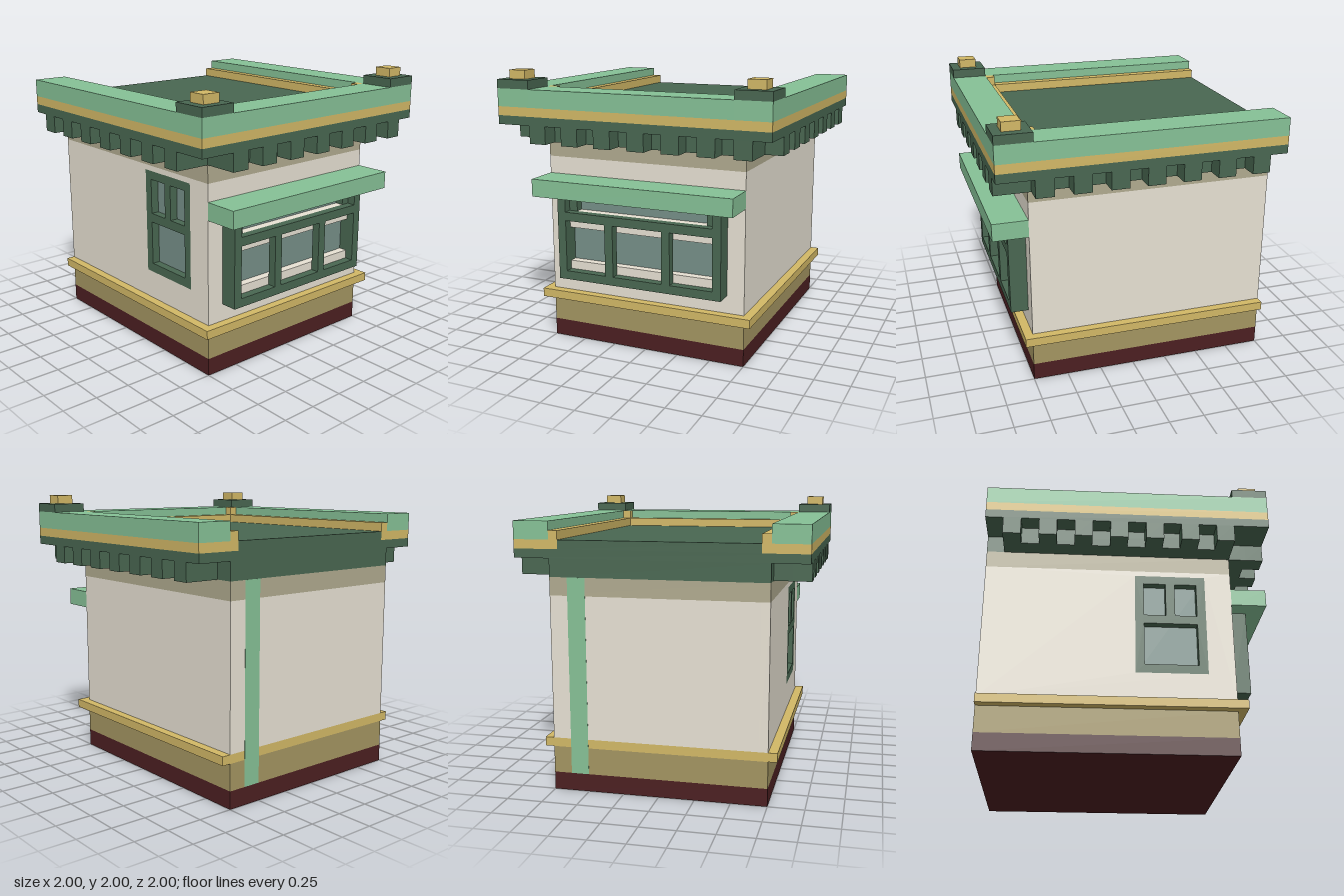
import * as THREE from 'three';

const mat = (name, color) => {
  const m = new THREE.MeshStandardMaterial({ color });
  m.name = name;
  return m;
};

export function createModel() {
  const wall = mat('wallStone', 0xe8e2d4), tan = mat('tanBand', 0xb0aa8f);
  const maroon = mat('maroonBase', 0x4c1f21), olive = mat('oliveBase', 0xa39561);
  const gold = mat('goldTrim', 0xd2b866), dark = mat('darkGreen', 0x496751);
  const light = mat('lightGreen', 0x86c196), glass = mat('glass', 0x768f88);

  const model = new THREE.Group();
  model.name = 'building';

  // box given by its two extreme corners
  const box = (name, m, x0, x1, y0, y1, z0, z1) => {
    const mesh = new THREE.Mesh(new THREE.BoxGeometry(x1 - x0, y1 - y0, z1 - z0), m);
    mesh.position.set((x0 + x1) / 2, (y0 + y1) / 2, (z0 + z1) / 2);
    mesh.name = name;
    model.add(mesh);
  };

  // box on the +x side and its mirror on the -x side
  const pair = (name, m, x0, x1, ...rest) => {
    box(name, m, x0, x1, ...rest);
    box(name, m, -x1, -x0, ...rest);
  };

  // flat panel with rectangular holes, each rectangle as [u0, u1, y0, y1]
  const trace = (path, [u0, u1, y0, y1]) => {
    path.moveTo(u0, y0);
    path.lineTo(u1, y0);
    path.lineTo(u1, y1);
    path.lineTo(u0, y1);
    path.closePath();
    return path;
  };
  const panel = (name, m, outer, holes, depth) => {
    const shape = trace(new THREE.Shape(), outer);
    holes.forEach(h => shape.holes.push(trace(new THREE.Path(), h)));
    const mesh = new THREE.Mesh(new THREE.ExtrudeGeometry(shape, { depth, bevelEnabled: false }), m);
    mesh.name = name;
    model.add(mesh);
    return mesh;
  };

  // base courses
  box('basePlinth', maroon, -0.75, 0.75, 0, 0.125, -1, 0.75);
  box('baseCourse', olive, -0.75, 0.75, 0.125, 0.3125, -1, 0.75);
  box('baseTrim', gold, -0.8125, 0.8125, 0.3125, 0.375, -1, 0.8125);

  // walls: solid core and a pierced layer on the right side
  box('wallCore', wall, -0.6875, 0.75, 0.375, 1.375, -1, 0.75);
  const sideOpening = [0.0625, 0.5625, 0.58, 1.3375];
  const sideWall = panel('sideWall', wall, [-1, 0.75, 0.375, 1.375], [sideOpening], 0.0625);
  box('upperBand', tan, -0.75, 0.75, 1.375, 1.5, -1, 0.75);
  box('backStripe', light, 0.5, 0.625, 0.125, 1.5, -1.001, -0.998);

  // side window, set into the wall
  const sideFrame = panel('sideWindowFrame', dark, sideOpening,
    [[0.125, 0.5, 0.645, 0.96], [0.125, 0.28, 1.025, 1.275], [0.345, 0.5, 1.025, 1.275]], 0.0625);
  for (const p of [sideWall, sideFrame]) {
    p.rotation.y = -Math.PI / 2;
    p.position.x = -0.6875;
  }
  box('sideWindowGlass', glass, -0.692, -0.686, 0.6, 1.325, 0.075, 0.55);

  // front window: glass on the wall, stone sill and lintel, green frame in front
  box('lowerGlass', glass, -0.5625, 0.5625, 0.625, 0.875, 0.748, 0.752);
  box('upperGlass', glass, -0.5, 0.5, 1, 1.125, 0.748, 0.752);
  box('windowSill', wall, -0.5625, 0.5625, 0.5625, 0.625, 0.75, 0.8125);
  box('windowLintel', wall, -0.5625, 0.5625, 0.875, 1, 0.75, 0.8125);
  box('frameBottom', dark, -0.5625, 0.5625, 0.5, 0.5625, 0.75, 0.875);
  box('frameTransom', dark, -0.5625, 0.5625, 0.9375, 1, 0.8125, 0.875);
  pair('frameSide', dark, 0.5625, 0.625, 0.5, 1.125, 0.75, 0.875);
  pair('frameMullion', dark, 0.1875, 0.25, 0.5625, 0.9375, 0.8125, 0.875);
  pair('frameBracket', dark, 0.5, 0.5625, 1, 1.125, 0.75, 0.8125);
  box('awning', light, -0.75, 0.75, 1.125, 1.25, 0.75, 1);

  // roof, overhanging slab, soffit and dentils
  box('roofCore', dark, -0.75, 0.75, 1.5, 1.625, -1, 0.75);
  box('roofSlab', dark, -1, 1, 1.625, 1.6875, -1, 1);
  box('roofDeck', dark, -0.6875, 0.6875, 1.6875, 1.75, -1, 0.6875);
  box('frontSoffit', dark, -0.75, 0.875, 1.5, 1.625, 0.75, 0.875);
  pair('sideSoffit', dark, 0.75, 0.875, 1.5, 1.625, -0.875, 0.75);
  for (let i = 0; i < 7; i++) {
    const x = -0.75 + i * 0.25, z = 0.75 - i * 0.25;
    box('frontDentil', dark, x, x + 0.125, 1.5, 1.625, 0.875, 1);
    pair('sideDentil', dark, 0.875, 1, 1.5, 1.625, z - 0.125, z);
  }

  // cornice around three sides, with a raised inner lip
  box('frontCorniceTrim', gold, -0.75, 0.75, 1.6875, 1.75, 0.75, 1);
  box('frontCornice', light, -0.75, 0.75, 1.75, 1.875, 0.75, 1);
  box('frontLip', gold, -0.6875, 0.6875, 1.6875, 1.8125, 0.6875, 0.75);
  pair('sideCorniceTrim', gold, 0.75, 1, 1.6875, 1.75, -1, 1);
  pair('sideCornice', light, 0.75, 1, 1.75, 1.875, -1, 1);
  pair('sideLip', gold, 0.6875, 0.75, 1.6875, 1.8125, -1, 0.6875);
  pair('lipCorner', gold, 0.6875, 0.75, 1.6875, 1.875, 0.6875, 0.75);

  // corner finials
  pair('finialBase', dark, 0.75, 1, 1.875, 1.9375, 0.75, 1);
  pair('finialCap', gold, 0.8125, 0.9375, 1.9375, 2, 0.8125, 0.9375);
  return model;
}
